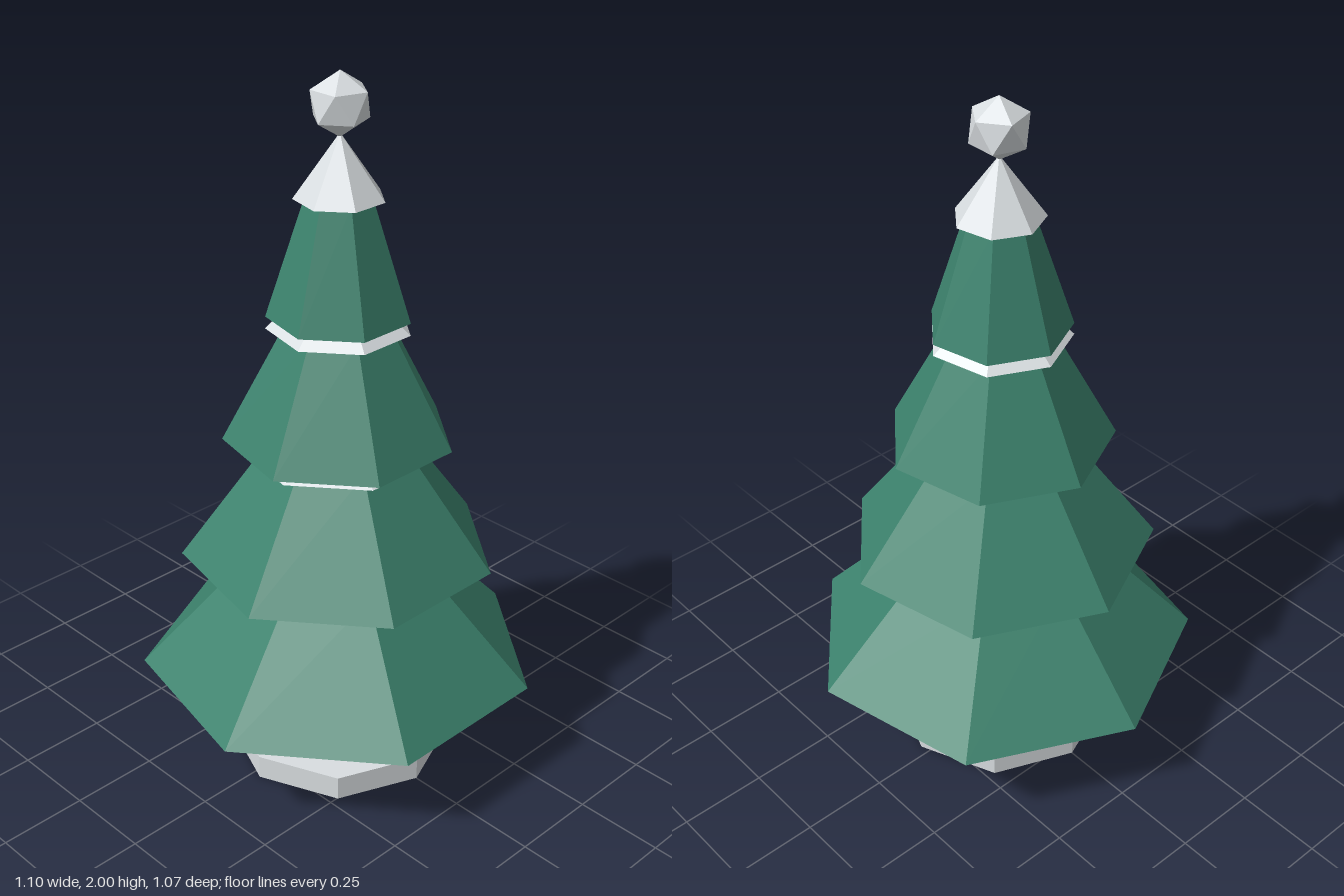
import * as THREE from 'three';

const CENTER_Z = 0.028;

function flat(name, color) {
  const m = new THREE.MeshStandardMaterial({ color, flatShading: true });
  m.name = name;
  return m;
}

export function createModel() {
  const green = flat('needle green', 0x3c826d);
  const snow = flat('snow white', 0xd9dee1);
  const brown = flat('bark brown', 0x70462e);

  const tree = new THREE.Group();
  tree.name = 'tree';
  tree.position.z = CENTER_Z;

  const add = (name, geometry, material) => {
    const mesh = new THREE.Mesh(geometry, material);
    mesh.name = name;
    tree.add(mesh);
    return mesh;
  };

  // Tapered prism standing on height y
  const prism = (name, top, bottom, height, sides, y, material, turn = 0) => {
    const g = new THREE.CylinderGeometry(top, bottom, height, sides);
    g.rotateY(turn);
    g.translate(0, y + height / 2, 0);
    return add(name, g, material);
  };

  // Octagonal stand, with the trunk showing through its underside
  prism('stand', 0.318, 0.318, 0.071, 8, 0.001, snow);
  prism('trunk', 0.107, 0.107, 0.3, 6, 0, brown);

  // Four seven-sided branch tiers, each with a snow cone above it
  for (let i = 0; i < 4; i++) {
    const y = 0.29 + i * 0.354;
    const radius = 0.563 - i * 0.1225;
    prism(`branchTier${i + 1}`, radius * 0.455, radius, 0.328, 7, y, green, Math.PI);
    prism(`snowCone${i + 1}`, 0, 0.345 - i * 0.0745, 0.17, 7, y + 0.32, snow, Math.PI);
  }

  // Faceted ball with one corner pointing straight up
  const ball = new THREE.IcosahedronGeometry(0.085, 0);
  ball.rotateZ(-Math.atan(2 / (1 + Math.sqrt(5))));
  ball.translate(0, 1.915, 0);
  add('topBall', ball, snow);

  const model = new THREE.Group();
  model.name = 'snowyTree';
  model.add(tree);
  return model;
}
